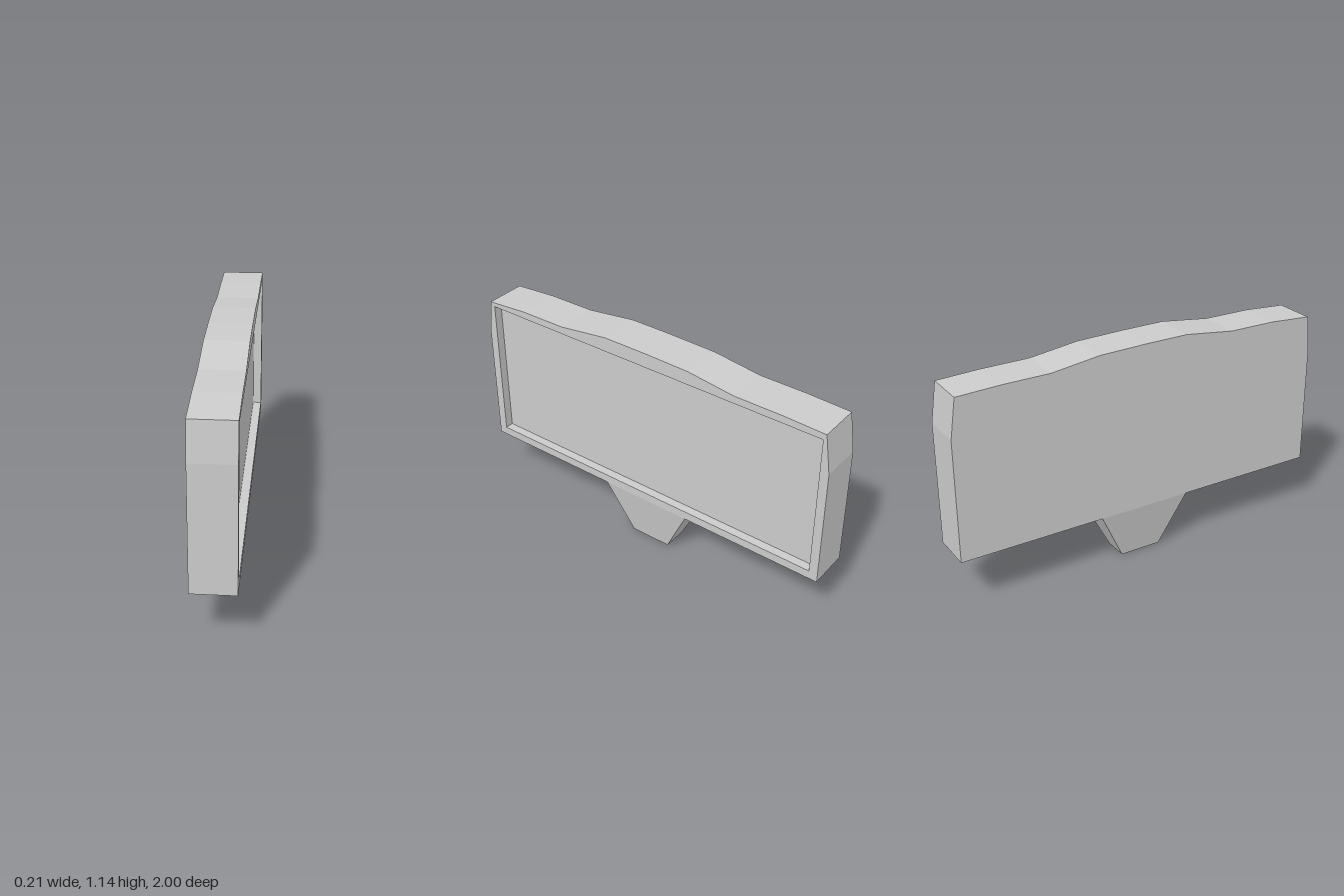
import * as THREE from 'three';
import { mergeGeometries } from 'three/addons/utils/BufferGeometryUtils.js';

const HALF = 0.107;   // half thickness of the board
const RECESS = 0.045; // depth of the sunken panel
const BASE = 0.275;   // underside of the board

// Side outlines as (-z, y), counter-clockwise seen from +x
const outline = [
  [-1, BASE], [1, BASE], [1, 0.9], [0.97, 1.1], [0.75, 1.107], [0.5, 1.107], [0.25, 1.138],
  [0, 1.143], [-0.23, 1.143], [-0.5, 1.107], [-0.75, 1.105], [-0.98, 1.088], [-1, 0.9],
].map(([u, v]) => new THREE.Vector2(u, v));
const opening = [[-0.955, 0.32], [0.955, 0.32], [0.955, 1.068], [-0.955, 1.068]]
  .map(([u, v]) => new THREE.Vector2(u, v));

// Flat face at depth w, facing forward or flipped
function face(points, w, hole, flip) {
  const shape = new THREE.Shape(points);
  if (hole) shape.holes.push(new THREE.Path(hole));
  const g = new THREE.ShapeGeometry(shape);
  if (flip) g.index.array.reverse();
  return g.toNonIndexed().translate(0, 0, w);
}

// Band of quads along a closed outline, from depth w0 to w1
function wall(points, w0, w1) {
  const pos = [];
  points.forEach((a, i) => {
    const b = points[(i + 1) % points.length];
    pos.push(a.x, a.y, w0, b.x, b.y, w0, b.x, b.y, w1);
    pos.push(a.x, a.y, w0, b.x, b.y, w1, a.x, a.y, w1);
  });
  const g = new THREE.BufferGeometry();
  g.setAttribute('position', new THREE.Float32BufferAttribute(pos, 3));
  return g;
}

// Join pieces, turn the depth axis to x, and give flat normals
function join(pieces) {
  pieces.forEach((g) => { g.deleteAttribute('normal'); g.deleteAttribute('uv'); });
  const g = mergeGeometries(pieces).rotateY(Math.PI / 2);
  g.computeVertexNormals();
  return g;
}

export function createModel() {
  const group = new THREE.Group();
  const material = new THREE.MeshStandardMaterial({ color: 0xcccccc, flatShading: true });
  const add = (name, geometry) => {
    const mesh = new THREE.Mesh(geometry, material);
    mesh.name = name;
    group.add(mesh);
  };

  // Board with a wavy top and a framed front
  add('board', join([
    wall(outline, -HALF, HALF),
    face(outline, HALF, opening),
    face(outline, -HALF, null, true),
  ]));

  // Sunken panel and the inner edges of its frame
  add('sunkenPanel', join([
    face(opening, HALF - RECESS),
    wall([...opening].reverse(), HALF - RECESS, HALF),
  ]));

  // Foot tapering towards the ground
  const foot = new THREE.BoxGeometry(2 * HALF, BASE, 0.495).translate(0, BASE / 2, 0);
  const p = foot.attributes.position;
  for (let i = 0; i < p.count; i++) {
    if (p.getY(i) < BASE / 2) {
      p.setX(i, Math.sign(p.getX(i)) * 0.062);
      p.setZ(i, Math.sign(p.getZ(i)) * 0.11);
    }
  }
  foot.computeVertexNormals();
  add('foot', foot);

  return group;
}
